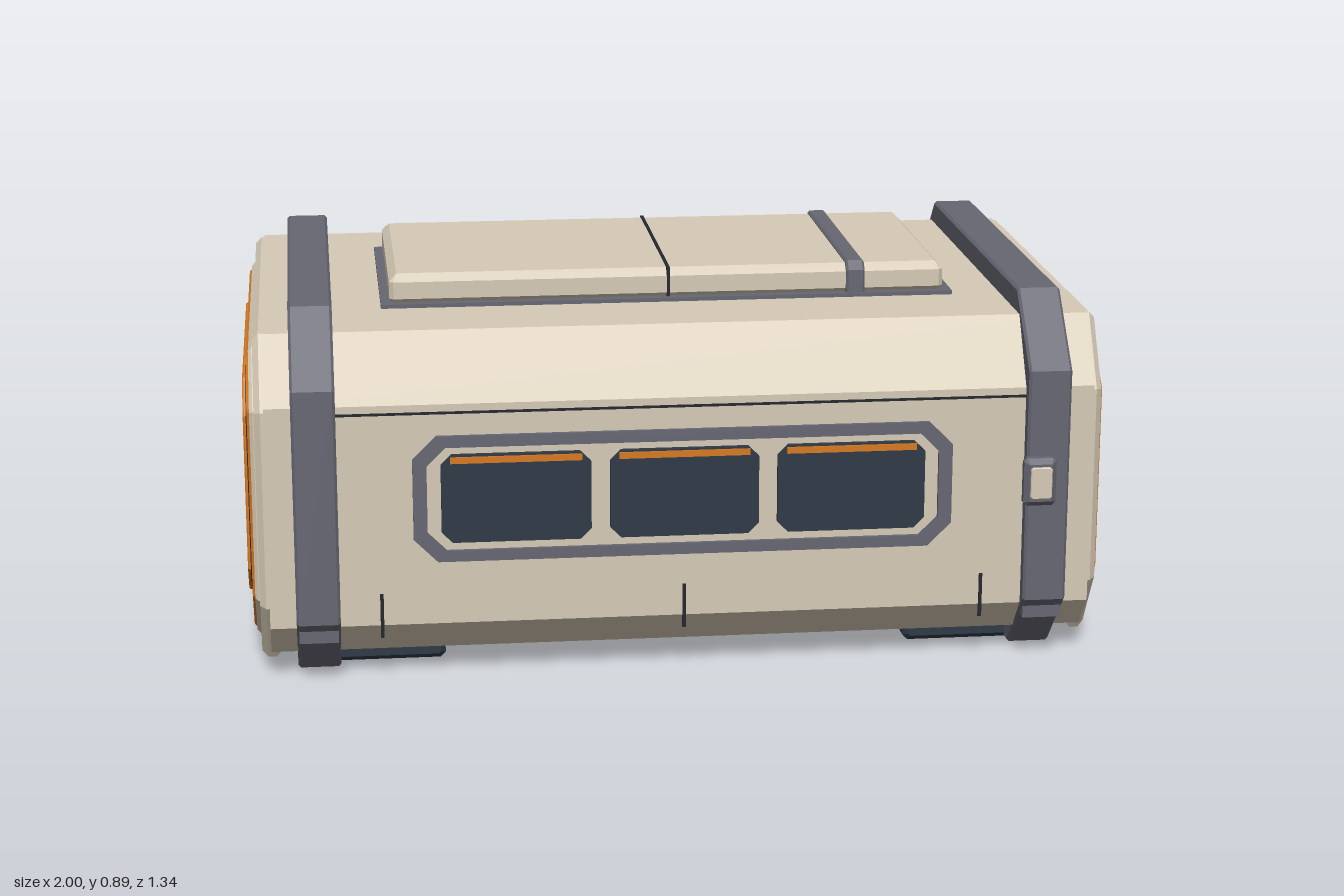
import * as THREE from 'three';

const mat = (name, color) => Object.assign(new THREE.MeshStandardMaterial({ color }), { name });
const tan = mat('sand shell', 0xd6cab6);
const slate = mat('slate trim', 0x676773);
const navy = mat('dark navy', 0x2f3a46);
const orange = mat('orange panel', 0xd87a22);
const dark = mat('seam dark', 0x24272d);

// Outline symmetric about u = 0, with separate top and bottom corner cuts [u, v]
function octPoints(hw, y0, y1, top, bot = top) {
  const half = [[hw - bot[0], y0], [hw, y0 + bot[1]], [hw, y1 - top[1]], [hw - top[0], y1]];
  const mirrored = half.map(([u, v]) => [-u, v]).reverse();
  return [...half, ...mirrored].map(([u, v]) => new THREE.Vector2(u, v));
}
const oct = (...a) => new THREE.Shape(octPoints(...a));

// Extrusion from z0 to z1 whose outline already includes the bevel
function slab(shape, z0, z1, bevel = 0) {
  const g = new THREE.ExtrudeGeometry(shape, {
    depth: z1 - z0 - 2 * bevel, bevelEnabled: bevel > 0, bevelThickness: bevel,
    bevelSize: bevel, bevelOffset: -bevel, bevelSegments: 1, steps: 1,
  });
  return g.translate(0, 0, z0 + bevel);
}

export function createModel() {
  const model = new THREE.Group();
  model.name = 'storagePod';
  model.position.z = -0.0175;

  const add = (name, geo, material, parent = model) => {
    const m = new THREE.Mesh(geo, material);
    m.name = name;
    parent.add(m);
    return m;
  };
  const box = (name, x0, x1, y0, y1, z0, z1, material, parent = model) => {
    const m = add(name, new THREE.BoxGeometry(x1 - x0, y1 - y0, z1 - z0), material, parent);
    m.position.set((x0 + x1) / 2, (y0 + y1) / 2, (z0 + z1) / 2);
    return m;
  };

  // Main shell, extruded along x
  add('shell', slab(oct(0.622, 0.06, 0.81, [0.095, 0.15], [0.07, 0.08]), -0.95, 0.95)
    .rotateY(Math.PI / 2), tan);

  for (const side of [1, -1]) {
    const end = new THREE.Group();
    end.name = side > 0 ? 'leftEnd' : 'rightEnd';
    end.rotation.y = side * Math.PI / 2;
    model.add(end);

    // Strap ring around the shell
    const ring = oct(0.653, 0, 0.865, [0.155, 0.16], [0.155, 0.155]);
    ring.holes.push(new THREE.Path(octPoints(0.6, 0.07, 0.79, [0.12, 0.15]).reverse()));
    add('strapRing', slab(ring, 0.79, 0.89, 0.006), slate, end);
    for (const s of [1, -1]) {
      box('strapPost', s > 0 ? 0.58 : -0.632, s > 0 ? 0.632 : -0.58, 0.105, 0.7, 0.795, 0.885, slate, end);
    }

    // Stepped end cap
    add('capRim', slab(oct(0.612, 0.035, 0.808, [0.1, 0.16], [0.1, 0.15]), 0.925, 0.972, 0.014), tan, end);
    add('capStep', slab(oct(0.565, 0.07, 0.758, [0.12, 0.12]), 0.95, 0.983, 0.008), tan, end);
    add('capPanel', slab(oct(0.545, 0.083, 0.743, [0.11, 0.11]), 0.96, 0.989, 0.006), orange, end);
    add('capSeam', slab(oct(0.456, 0.146, 0.679, [0.077, 0.077]), 0.98, 0.993), dark, end);
    add('capInset', slab(oct(0.447, 0.155, 0.67, [0.073, 0.073]), 0.985, 1, 0.003), orange, end);

    // Foot pad under each end
    const foot = add('foot', slab(oct(0.135, 0, 0.07, [0.001, 0.001], [0.012, 0.012]), -0.47, 0.47, 0.012), navy);
    foot.position.x = side * 0.68;
  }

  // Window strip, seam and ticks on the front and back
  for (const side of [1, -1]) {
    const wall = new THREE.Group();
    wall.name = side > 0 ? 'frontWall' : 'backWall';
    wall.rotation.y = side > 0 ? 0 : Math.PI;
    model.add(wall);

    const frame = oct(0.62, 0.29, 0.587, [0.055, 0.055]);
    frame.holes.push(new THREE.Path(octPoints(0.588, 0.316, 0.56, [0.043, 0.043]).reverse()));
    add('windowFrame', slab(frame, 0.615, 0.632), slate, wall);
    for (const x of [-0.385, 0, 0.385]) {
      const pane = add('window', slab(oct(0.171, 0.335, 0.543, [0.025, 0.025]), 0.615, 0.632), navy, wall);
      pane.position.x = x;
      box('windowLight', x - 0.15, x + 0.15, 0.523, 0.538, 0.63, 0.636, orange, wall);
    }
    box('sideSeam', -0.79, 0.79, 0.637, 0.643, 0.618, 0.6235, dark, wall);
    for (const x of [-0.695, 0, 0.695]) {
      box('sideTick', x - 0.004, x + 0.004, 0.11, 0.215, 0.618, 0.624, dark, wall);
    }
  }

  // Roof hatch
  box('hatchBase', -0.675, 0.675, 0.8, 0.819, -0.316, 0.314, slate);
  const lid = add('hatchLid', slab(oct(0.655, -0.298, 0.298, [0.01, 0.01]), 0.81, 0.886, 0.018)
    .rotateX(-Math.PI / 2), tan);
  lid.position.z = 0;
  box('hatchSeam', -0.004, 0.004, 0.815, 0.8875, -0.2985, 0.2985, dark);
  add('hatchStrap', slab(oct(0.308, 0.815, 0.893, [0.02, 0.02], [0.001, 0.001]), 0.422, 0.466, 0.005)
    .rotateY(Math.PI / 2), slate);

  // Latch on the front strap
  const latch = new THREE.Group();
  latch.name = 'latch';
  latch.position.x = 0.818;
  model.add(latch);
  add('latchBody', slab(oct(0.038, 0.39, 0.503, [0.008, 0.008]), 0.64, 0.68, 0.012), slate, latch);
  add('latchPlate', slab(oct(0.025, 0.41, 0.485, [0.005, 0.005]), 0.678, 0.6875, 0.002), tan, latch);

  return model;
}
